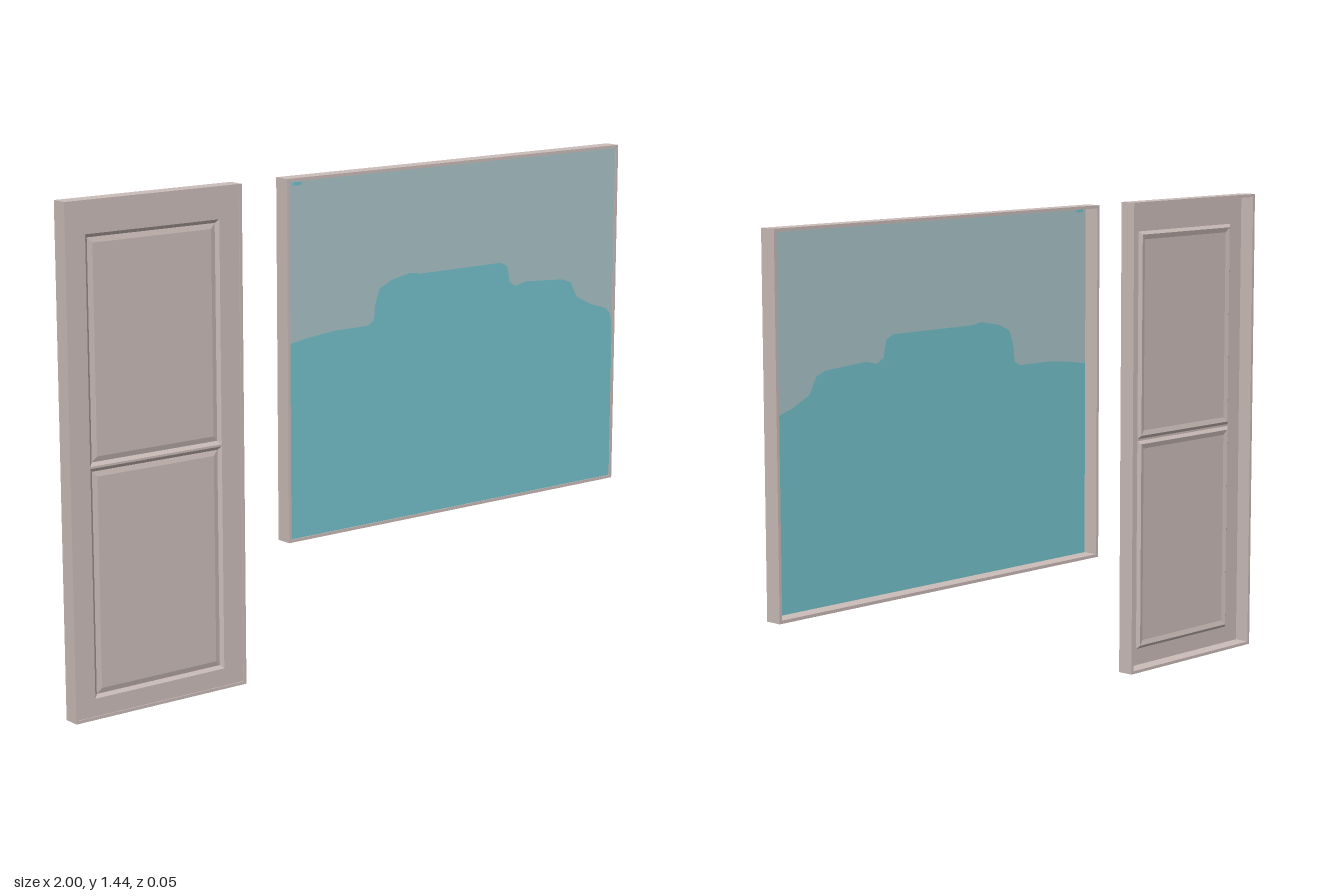
import * as THREE from 'three';

const mat = (name, color) => {
  const m = new THREE.MeshStandardMaterial({ color, side: THREE.DoubleSide });
  m.name = name;
  return m;
};

const DEPTH = 0.05, WALL = 0.009, SHEET_Z = 0.022;

function add(parent, name, geometry, material) {
  const mesh = new THREE.Mesh(geometry, material);
  mesh.name = name;
  parent.add(mesh);
  return mesh;
}

// Rectangles are [x0, y0, x1, y1]
const inset = ([a, b, c, d], t) => [a + t, b + t, c - t, d - t];
const corners = ([a, b, c, d]) => [[a, b], [c, b], [c, d], [a, d]];
const toShape = (pts) => new THREE.Shape(pts.map(([x, y]) => new THREE.Vector2(x, y)));
const sheet = (shape, z) => new THREE.ShapeGeometry(shape).translate(0, 0, z);

// Four sloping strips joining two rectangles at different depths
function slopedRing(outer, z0, inner, z1) {
  const o = corners(outer), n = corners(inner), pos = [];
  for (let i = 0; i < 4; i++) {
    const j = (i + 1) % 4;
    const A = [...o[i], z0], B = [...o[j], z0], C = [...n[j], z1], D = [...n[i], z1];
    pos.push(...A, ...B, ...C, ...A, ...C, ...D);
  }
  const g = new THREE.BufferGeometry();
  g.setAttribute('position', new THREE.Float32BufferAttribute(pos, 3));
  g.computeVertexNormals();
  return g;
}

// Thin surround, deep at the back
function surround(parent, [x0, y0, x1, y1], material) {
  const w = x1 - x0, h = y1 - y0, cx = (x0 + x1) / 2, cy = (y0 + y1) / 2;
  for (const s of [-1, 1]) {
    const rail = new THREE.BoxGeometry(w, WALL, DEPTH);
    add(parent, s < 0 ? 'bottomRail' : 'topRail', rail, material)
      .position.set(cx, cy + s * (h - WALL) / 2, 0);
    const stile = new THREE.BoxGeometry(WALL, h - 2 * WALL, DEPTH);
    add(parent, s < 0 ? 'rightStile' : 'leftStile', stile, material)
      .position.set(cx + s * (w - WALL) / 2, cy, 0);
  }
}

export function createModel() {
  const model = new THREE.Group();
  model.name = 'doorAndWindow';
  const wood = mat('paintedWood', 0xcbbcb8);
  const pale = mat('paleGlass', 0xabc6ca);
  const teal = mat('tealGlass', 0x76c2cc);

  // Door: sheet with two grooved panels
  const door = new THREE.Group();
  door.name = 'door';
  model.add(door);
  const doorRect = [-1, 0, -0.425, 1.44];
  surround(door, doorRect, wood);
  const panels = [[-0.935, 0.06, -0.5, 0.709], [-0.935, 0.715, -0.5, 1.348]];
  const face = toShape(corners(inset(doorRect, WALL)));
  for (const p of panels) face.holes.push(toShape(corners(p)));
  add(door, 'doorFace', sheet(face, SHEET_Z), wood);
  for (const p of panels) {
    const groove = inset(p, 0.01), field = inset(p, 0.025);
    add(door, 'panelGroove', slopedRing(p, SHEET_Z, groove, SHEET_Z - 0.008), wood);
    add(door, 'panelBevel', slopedRing(groove, SHEET_Z - 0.008, field, SHEET_Z - 0.004), wood);
    add(door, 'panelField', sheet(toShape(corners(field)), SHEET_Z - 0.004), wood);
  }

  // Window: one pane split along a rounded skyline
  const win = new THREE.Group();
  win.name = 'window';
  model.add(win);
  const winRect = [-0.27, 0.39, 1, 1.44];
  surround(win, winRect, wood);
  const [x0, y0, x1, y1] = inset(winRect, WALL);
  const skyline = [
    [x0, 0.97], [-0.2, 0.98], [-0.1, 0.99], [0.02, 0.99], [0.043, 1.003], [0.048, 1.05],
    [0.065, 1.095], [0.11, 1.115], [0.18, 1.128], [0.22, 1.122], [0.53, 1.122], [0.555, 1.108],
    [0.565, 1.06], [0.59, 1.045], [0.63, 1.055], [0.78, 1.045], [0.815, 1.032],
    [0.84, 0.985], [0.9, 0.955], [0.965, 0.935], [0.982, 0.915], [x1, 0.885],
  ];
  add(win, 'lowerGlass', sheet(toShape([[x0, y0], [x1, y0], ...[...skyline].reverse()]), SHEET_Z), teal);
  add(win, 'upperGlass', sheet(toShape([...skyline, [x1, y1], [x0, y1]]), SHEET_Z), pale);

  // Small fleck in the upper corner
  add(win, 'glassFleck', new THREE.BoxGeometry(0.03, 0.01, 0.004), teal)
    .position.set(-0.233, 1.424, SHEET_Z);

  return model;
}
